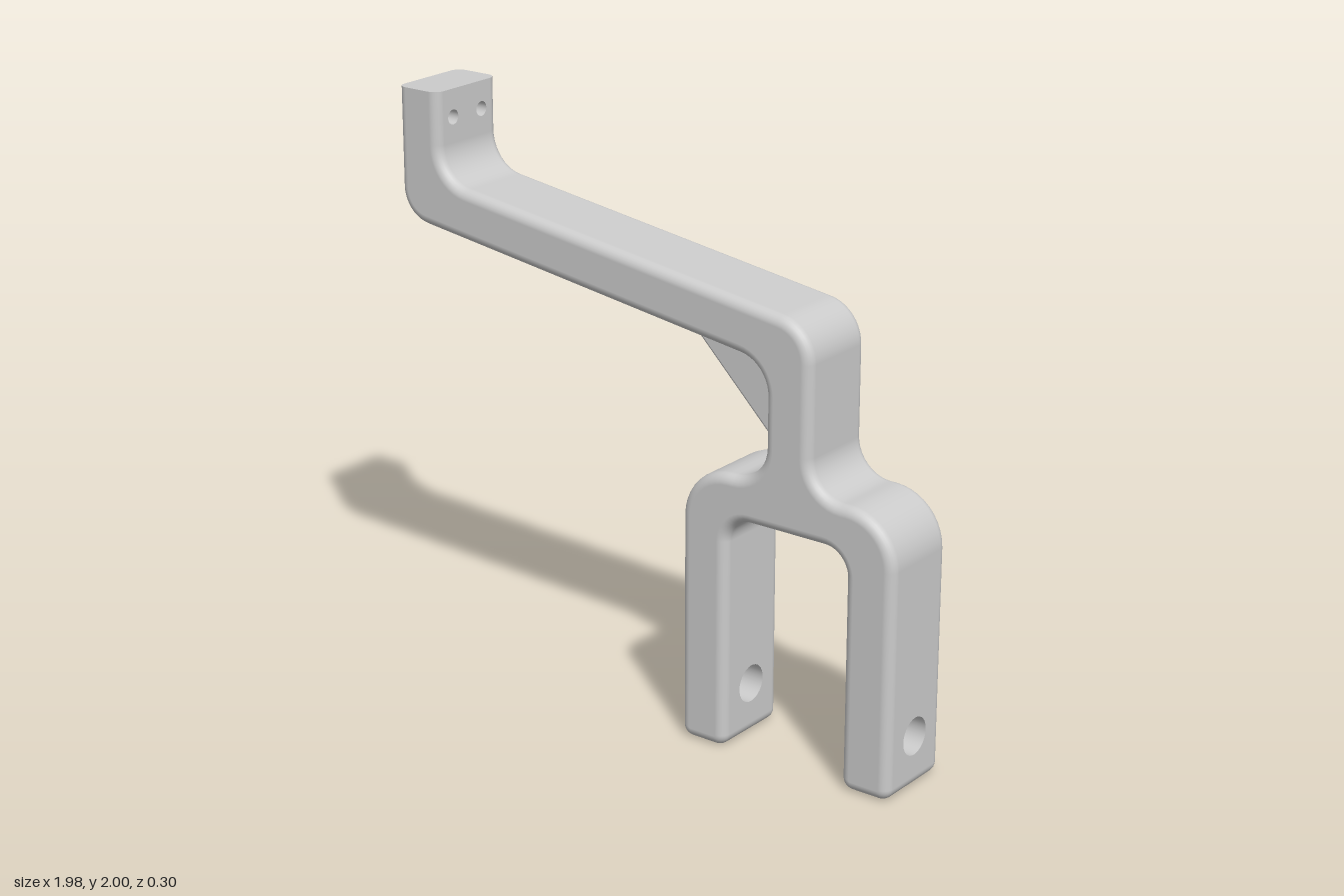
import * as THREE from 'three';

const HALF = 0.15;   // half depth of the bracket
const BEVEL = 0.035; // rounding of the front and back edges
const FLAT = HALF - BEVEL;

// Outline corners, counter-clockwise: x, y, corner radius
const CORNERS = [
  [0.18, 0, 0.04], [0.355, 0, 0.04], [0.355, 0.805, 0.085], [0.81, 0.805, 0.085],
  [0.81, 0, 0.04], [0.99, 0, 0.04], [0.99, 0.955, 0.18], [0.67, 0.955, 0.12],
  [0.67, 1.498, 0.14], [-0.82, 1.707, 0.13], [-0.82, 2, 0], [-0.99, 2, 0],
  [-0.99, 1.557, 0.12], [0.5, 1.348, 0.12], [0.5, 0.955, 0.12], [0.18, 0.955, 0.18],
];

// Rounds the corners; every point keeps its outward normal
function roundedOutline(corners, steps = 10) {
  const out = [];
  const v = corners.map(([x, y]) => new THREE.Vector2(x, y));
  const n = v.length;
  corners.forEach(([, , r], i) => {
    const d1 = v[i].clone().sub(v[(i + n - 1) % n]).normalize();
    const d2 = v[(i + 1) % n].clone().sub(v[i]).normalize();
    const n1 = new THREE.Vector2(d1.y, -d1.x);
    const n2 = new THREE.Vector2(d2.y, -d2.x);
    if (r === 0) { // sharp end: keep the normal of the upright side
      out.push({ p: v[i], n: Math.abs(d1.y) > 0.9 ? n1 : n2 });
      return;
    }
    const turn = Math.atan2(d1.cross(d2), d1.dot(d2));
    const s = Math.sign(turn);
    const t = r * Math.tan(Math.abs(turn) / 2);
    const centre = v[i].clone().addScaledVector(d1, -t).addScaledVector(n1, -s * r);
    for (let k = 0; k <= steps; k++) {
      const nk = n1.clone().rotateAround(new THREE.Vector2(), turn * k / steps);
      out.push({ p: centre.clone().addScaledVector(nk, s * r), n: nk });
    }
  });
  return out;
}

// Cross holes for an upright side of the outline: [z, y, radius]
function holesFor(a, b) {
  if (Math.abs(a.p.x - b.p.x) > 1e-4 || Math.abs(a.p.y - b.p.y) < 0.15) return null;
  const low = Math.min(a.p.y, b.p.y), high = Math.max(a.p.y, b.p.y);
  if (low < 0.1) return [[0, 0.18, 0.064]];
  if (high > 1.99) return [[-0.07, 1.905, 0.025], [0.07, 1.905, 0.025]];
  return null;
}

// Flat side with round holes, facing +x or -x
function holedPanel(a, b, holes) {
  const low = Math.min(a.p.y, b.p.y), high = Math.max(a.p.y, b.p.y);
  const shape = new THREE.Shape();
  shape.moveTo(-FLAT, low).lineTo(FLAT, low).lineTo(FLAT, high).lineTo(-FLAT, high);
  for (const [z, y, r] of holes) {
    shape.holes.push(new THREE.Path().absarc(z, y, r, 0, Math.PI * 2, true));
  }
  return new THREE.ShapeGeometry(shape, 16)
    .rotateY(Math.sign(a.n.x) * Math.PI / 2).translate(a.p.x, 0, 0);
}

export function createModel() {
  const group = new THREE.Group();
  const grey = new THREE.MeshStandardMaterial({ color: 0xcccccc });
  const inside = new THREE.MeshStandardMaterial({ color: 0xcccccc, side: THREE.BackSide });
  const add = (name, geometry, material = grey) => {
    const mesh = new THREE.Mesh(geometry, material);
    mesh.name = name;
    group.add(mesh);
    return mesh;
  };

  // Rounded rim: the outline swept from back to front
  const outline = roundedOutline(CORNERS);
  const rings = [];
  const STEPS = 6;
  for (const side of [-1, 1]) {
    for (let k = 0; k <= STEPS; k++) {
      const a = (k / STEPS - (side < 0 ? 1 : 0)) * Math.PI / 2;
      rings.push({ c: Math.cos(a), s: Math.sin(a), z: side * FLAT + BEVEL * Math.sin(a) });
    }
  }
  const positions = [], normals = [];
  const put = (o, ring, top) => {
    const inset = BEVEL * (1 - ring.c);
    positions.push(o.p.x - o.n.x * inset, o.p.y - o.n.y * inset, ring.z);
    if (top) normals.push(0, 1, 0);
    else normals.push(o.n.x * ring.c, o.n.y * ring.c, ring.s);
  };
  outline.forEach((a, i) => {
    const b = outline[(i + 1) % outline.length];
    const top = a.p.y > 1.999 && b.p.y > 1.999;
    const holes = holesFor(a, b);
    if (holes) add('drilledSide', holedPanel(a, b, holes));
    for (let j = 0; j < rings.length - 1; j++) {
      if (holes && j === STEPS) continue;
      const r = rings[j], q = rings[j + 1];
      put(a, r, top); put(b, r, top); put(b, q, top);
      put(a, r, top); put(b, q, top); put(a, q, top);
    }
  });
  const rim = new THREE.BufferGeometry();
  rim.setAttribute('position', new THREE.Float32BufferAttribute(positions, 3));
  rim.setAttribute('normal', new THREE.Float32BufferAttribute(normals, 3));
  add('bracketRim', rim);

  // Front and back faces
  const face = new THREE.ShapeGeometry(new THREE.Shape(
    outline.map(({ p, n }) => p.clone().addScaledVector(n, -BEVEL))));
  add('frontFace', face).position.z = HALF;
  add('backFace', face, inside).position.z = -HALF;

  // Walls of the cross holes
  const bore = (name, x0, x1, y, z, r) => {
    const wall = new THREE.CylinderGeometry(r, r, x1 - x0, 32, 1, true).rotateZ(Math.PI / 2);
    add(name, wall, inside).position.set((x0 + x1) / 2, y, z);
  };
  bore('axleHole', 0.18, 0.355, 0.18, 0, 0.064);
  bore('axleHole', 0.81, 0.99, 0.18, 0, 0.064);
  for (const z of [-0.07, 0.07]) bore('screwHole', -0.99, -0.82, 1.905, z, 0.025);

  // Gusset in the corner under the arm
  const web = new THREE.Shape();
  web.moveTo(0.08, 1.5).lineTo(0.57, 1.01).lineTo(0.58, 1.48);
  add('gusset', new THREE.ExtrudeGeometry(web, {
    depth: 0.12, bevelThickness: 0.045, bevelSize: 0.035, bevelOffset: -0.035, bevelSegments: 5,
  }).translate(0, 0, -0.06));

  return group;
}
